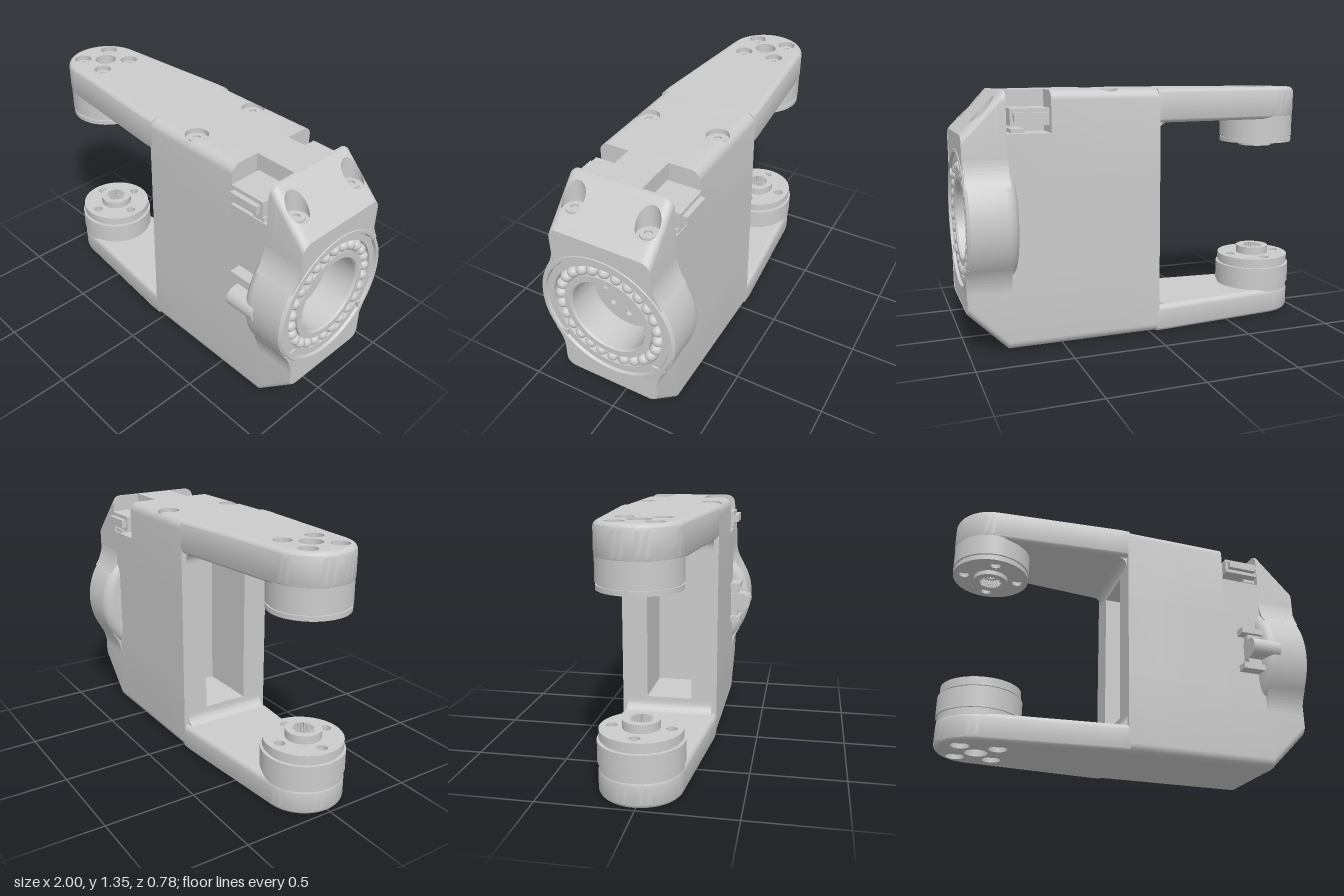
import * as THREE from 'three';
import { toCreasedNormals, mergeGeometries } from 'three/addons/utils/BufferGeometryUtils.js';

const mat = new THREE.MeshStandardMaterial({ color: 0xcccccc, side: THREE.DoubleSide });
const V2 = (x, y) => new THREE.Vector2(x, y);
const W = 0.277, H = 1.345, R = 0.05;      // body half width, height, edge radius
const AX = -0.78, AR = 0.215;              // arm joint position and radius
const CY = 0.665;                          // bearing height

function add(parent, name, geo, x = 0, y = 0, z = 0) {
  const m = new THREE.Mesh(geo, mat);
  m.name = name;
  m.position.set(x, y, z);
  parent.add(m);
  return m;
}

// Skin between closed loops of equal length
function loft(loops, skip = () => false) {
  const pos = [];
  const n = loops[0].length;
  for (let i = 0; i < loops.length - 1; i++) for (let j = 0; j < n; j++) {
    if (skip(i, j)) continue;
    const k = (j + 1) % n;
    const [a, b, c, d] = [loops[i][j], loops[i][k], loops[i + 1][k], loops[i + 1][j]];
    for (const p of [a, b, c, a, c, d]) pos.push(p.x, p.y, p.z);
  }
  const g = new THREE.BufferGeometry();
  g.setAttribute('position', new THREE.Float32BufferAttribute(pos, 3));
  g.computeVertexNormals();
  return toCreasedNormals(g, 0.6);
}

const circle = (x, y, r, n = 28) => Array.from({ length: n }, (_, i) =>
  V2(x + r * Math.cos(i / n * Math.PI * 2), y + r * Math.sin(i / n * Math.PI * 2)));

function shapeOf(points, holes = []) {
  const s = new THREE.Shape(points);
  s.holes = holes.map(h => new THREE.Path(h));
  return s;
}
// Flat plate standing up from y = 0
const plate = (points, holes, h) => toCreasedNormals(
  new THREE.ExtrudeGeometry(shapeOf(points, holes), { depth: h, bevelEnabled: false }).rotateX(-Math.PI / 2), 0.6);
const lathe = (pts, n = 56) => toCreasedNormals(
  new THREE.LatheGeometry(pts.map(p => V2(...p)), n), 0.6);
const tube = (r, h) => new THREE.CylinderGeometry(r, r, h, 28, 1, true);

// Screw head with a hexagonal socket
function screw(parent, x, y, z, r, up = 1) {
  const m = add(parent, 'screwHead', plate(circle(0, 0, r), [circle(0, 0, r * 0.5, 6)], 0.012), x, y, z);
  if (up < 0) m.rotation.x = Math.PI;
}

// Body cross-section at x; a notch may be cut into both top edges
function section(x, notch) {
  const t = Math.max(0, (x - 0.79) / 0.21), top = H - 0.215 * t, bot = 0.21 * t;
  const { zi, zo, floor, open } = notch || { zi: W - R, zo: W - R, floor: top };
  const f = Math.min(floor, top);
  const arcY = z => z <= W - R ? top : top - R + Math.sqrt(Math.max(0, R * R - (z - W + R) ** 2));
  const half = [[zi, top], [zi, f], [zo, Math.min(f, arcY(zo))], [zo, open ? f : arcY(zo)]];
  for (let k = 0; k <= 6; k++) {
    const z = Math.max(W - R + R * Math.sin(k * Math.PI / 12), zo);
    half.push([z, open ? Math.min(arcY(z), f) : arcY(z)]);
  }
  half.push([W, CY + 0.24], [W, CY - 0.24]);
  for (let k = 0; k <= 6; k++) {
    const a = k * Math.PI / 12;
    half.push([W - R + R * Math.cos(a), bot + R - R * Math.sin(a)]);
  }
  return [...half, ...half.slice().reverse().map(([z, y]) => [-z, y])]
    .map(([z, y]) => new THREE.Vector3(x, y, z));
}

function buildBody(g) {
  const loops = [section(-0.05)];
  const bore = (cx, floor) => {
    for (let k = 0; k <= 12; k++) {
      const a = k * Math.PI / 12, s = 0.06 * Math.sin(a);
      loops.push(section(cx - 0.06 * Math.cos(a), { zi: 0.2 - s, zo: 0.2 + s, floor }));
    }
  };
  const port = { zi: 0.11, zo: W, floor: 1.13, open: true };
  bore(0.22, 1.318);
  loops.push(section(0.545), section(0.545, port), section(0.775, port), section(0.775), section(0.79));
  bore(0.88, 1.19);
  loops.push(section(1));
  const last = loops.length - 2;
  add(g, 'bodyShell', loft(loops, (i, j) => i === last && (j === 11 || j === 27)));

  // Inner wall with a deep rectangular opening
  const zy = p => V2(p.z, p.y);
  const win = [V2(-0.13, 0.23), V2(0.13, 0.23), V2(0.13, 1.09), V2(-0.13, 1.09)];
  add(g, 'innerWall', new THREE.ShapeGeometry(shapeOf(loops[0].slice(4, 36).map(zy), [win]))
    .rotateY(-Math.PI / 2), -0.05);
  const ring = x => win.map(p => new THREE.Vector3(x, p.y, p.x));
  add(g, 'openingWalls', loft([ring(-0.05), ring(0.3)]));
  add(g, 'openingBack', new THREE.PlaneGeometry(0.26, 0.86).rotateY(-Math.PI / 2), 0.3, 0.66);

  // End faces above and below the bearing
  const end = loops[loops.length - 1].map(zy);
  const arc = (a, b) => Array.from({ length: 23 }, (_, i) => {
    const t = (a + (b - a) * (i + 1) / 24) * Math.PI / 180;
    return V2(0.3665 * Math.cos(t), CY + 0.3665 * Math.sin(t));
  });
  const faces = [[...end.slice(28, 36), ...end.slice(4, 12), ...arc(40.9, 139.1)],
    [...end.slice(12, 28), ...arc(220.9, 319.1)]];
  for (const f of faces)
    add(g, 'endFace', new THREE.ShapeGeometry(shapeOf(f)).rotateY(Math.PI / 2), 0.996);

  for (const s of [-1, 1]) {
    screw(g, 0.22, 1.316, 0.2 * s, 0.042);
    screw(g, 0.88, 1.19, 0.2 * s, 0.042);
    // Side connector
    const c = new THREE.Group();
    c.name = 'connector';
    c.position.set(0.66, 1.215, 0);
    g.add(c);
    add(c, 'connectorShell', new THREE.BoxGeometry(0.2, 0.085, 0.19), 0, 0, s * 0.2);
    add(c, 'connectorPlug', new THREE.BoxGeometry(0.17, 0.045, 0.1), 0, 0, s * 0.272);
    add(c, 'connectorFoot', new THREE.BoxGeometry(0.07, 0.02, 0.15), 0.06, -0.07, s * 0.2);
  }
}

function buildBearing(g) {
  const b = new THREE.Group();
  b.name = 'bearing';
  b.position.y = CY;
  g.add(b);
  const prof = [[0.2, 0.735]];
  for (let k = 0; k <= 6; k++) {
    const a = k * Math.PI / 12;
    prof.push([0.325 + 0.06 * Math.sin(a), 0.795 - 0.06 * Math.cos(a)]);
  }
  prof.push([0.385, 0.985], [0.372, 1], [0.356, 1], [0.35, 0.985], [0.312, 0.985], [0.312, 0.94],
    [0.25, 0.94], [0.25, 0.985], [0.216, 0.985], [0.208, 0.975], [0.205, 0.78], [0, 0.78]);
  add(b, 'bearingHousing', lathe(prof, 72).rotateZ(-Math.PI / 2));
  // Balls of the race
  const balls = [];
  for (let i = 0; i < 26; i++) {
    const a = i / 26 * Math.PI * 2;
    balls.push(new THREE.SphereGeometry(0.031, 16, 12).translate(0.965, 0.281 * Math.cos(a), 0.281 * Math.sin(a)));
  }
  add(b, 'bearingBalls', mergeGeometries(balls));
  // Mounting disc with its ring of holes
  const holes = [circle(0, 0, 0.027)];
  for (let i = 0; i < 8; i++)
    holes.push(circle(0.13 * Math.cos(i * Math.PI / 4), 0.13 * Math.sin(i * Math.PI / 4), 0.019, 16));
  add(b, 'mountingDisc', plate(circle(0, 0, 0.206, 56), holes, 0.022).rotateZ(-Math.PI / 2), 0.78);
  // Blends from the round housing to the flat sides
  for (const sz of [-1, 1]) for (const sy of [-1, 1]) {
    const s = new THREE.Shape();
    s.moveTo(0.25 * sz, 0.2 * sy);
    s.lineTo(W * sz, 0.34 * sy);
    s.quadraticCurveTo(0.282 * sz, 0.27 * sy, 0.325 * sz, 0.206 * sy);
    add(b, 'housingBlend', new THREE.ExtrudeGeometry(s, { depth: 0.225, bevelEnabled: false, curveSegments: 8 })
      .rotateY(-Math.PI / 2), 0.995);
  }
  // Cable clip on the front side
  add(b, 'clipBarrel', new THREE.CylinderGeometry(0.055, 0.055, 0.17, 24).rotateZ(Math.PI / 2), 0.735, 0, 0.345);
  add(b, 'clipBase', new THREE.BoxGeometry(0.17, 0.11, 0.1), 0.735, 0, 0.295);
  add(b, 'clipPlate', new THREE.BoxGeometry(0.09, 0.25, 0.06), 0.7, 0, 0.29);
  for (const s of [-1, 1])
    add(b, 'clipProng', new THREE.BoxGeometry(0.13, 0.035, 0.08), 0.68, s * 0.11, 0.3);
}

// Arm with its outer face on y = 0, pointing up; heights of boss, collar, disc and hub follow
function buildArm(name, T, boss, collar, disc, hub) {
  const g = new THREE.Group();
  g.name = name;
  const e = 0.03;
  const outline = inset => {
    const w = W - inset, p = [V2(-0.04, -w), V2(-0.1, -w)];
    for (let k = 0; k <= 32; k++) {
      const a = (264.8 - 169.6 * k / 32) * Math.PI / 180;
      p.push(V2(AX + (AR - inset) * Math.cos(a), (AR - inset) * Math.sin(a)));
    }
    return [...p, V2(-0.1, w), V2(-0.04, w)];
  };
  const loops = [];
  for (const top of [0, 1]) for (let k = 0; k <= 5; k++) {
    const a = (top ? k : 5 - k) * Math.PI / 10;
    const y = top ? T - e + e * Math.sin(a) : e - e * Math.sin(a);
    loops.push(outline(e - e * Math.cos(a)).map(p => new THREE.Vector3(p.x, y, p.y)));
  }
  add(g, 'armShell', loft(loops));
  const spots = [[-1, -1], [-1, 1], [1, -1], [1, 1]].map(([a, b]) => [AX + a * 0.095, b * 0.095]);
  const holes = [circle(AX, 0, 0.06), ...spots.map(([x, z]) => circle(x, z, 0.048))];
  add(g, 'outerFace', new THREE.ShapeGeometry(shapeOf(outline(e), holes)).rotateX(Math.PI / 2));
  add(g, 'innerFace', new THREE.ShapeGeometry(shapeOf(outline(e), [circle(AX, 0, 0.06)])).rotateX(-Math.PI / 2), 0, T);
  for (const [x, z] of spots) {
    add(g, 'screwHole', tube(0.048, 0.04), x, 0.02, z);
    screw(g, x, 0.035, z, 0.038, -1);
  }
  // Round boss, collar and base of the disc around a through bore
  const prof = [[0.06, 0], [0.06, 0.04], [0.19, 0.04], [0.205, 0.06], [0.212, 0.06], [0.212, boss]];
  if (collar > boss) prof.push([0.22, boss], [0.22, collar]);
  prof.push([0.202, collar], [0.202, collar + 0.012], [0.04, collar + 0.012], [0.04, 0.04]);
  add(g, 'jointBoss', lathe(prof), AX);
  const dh = [[0.15, 0], [-0.15, 0], [0, 0.15], [0, -0.15]].map(([x, z]) => circle(x, z, 0.028, 20));
  add(g, 'jointDisc', plate(circle(0, 0, 0.21, 56), [circle(0, 0, 0.06), ...dh], disc - collar - 0.01), AX, collar + 0.01);
  // Splined hub
  const teeth = Array.from({ length: 96 }, (_, i) => {
    const a = i / 96 * Math.PI * 2, r = i % 4 < 2 ? 0.052 : 0.062;
    return V2(r * Math.cos(a), r * Math.sin(a));
  });
  add(g, 'splinedHub', plate(circle(0, 0, 0.095, 40), [teeth], hub - collar - 0.01), AX, collar + 0.01);
  // Rounded inner corner towards the body
  const s = new THREE.Shape();
  s.moveTo(-0.04, T - 0.01);
  s.lineTo(-0.11, T - 0.002);
  s.quadraticCurveTo(-0.05, T, -0.05, T + 0.06);
  s.lineTo(-0.04, T + 0.06);
  add(g, 'cornerFillet', toCreasedNormals(new THREE.ExtrudeGeometry(s,
    { depth: 0.5, bevelEnabled: false, curveSegments: 10 }), 0.6), 0, 0, -0.25);
  return g;
}

export function createModel() {
  const model = new THREE.Group();
  model.name = 'robotLink';
  const g = new THREE.Group();
  g.name = 'linkAssembly';
  g.position.z = -0.012;
  model.add(g);
  buildBody(g);
  buildBearing(g);
  g.add(buildArm('lowerArm', 0.15, 0.17, 0.28, 0.335, 0.38));
  const upper = buildArm('upperArm', 0.18, 0.285, 0.285, 0.32, 0.345);
  upper.rotation.x = Math.PI;
  upper.position.y = H;
  g.add(upper);
  return model;
}
